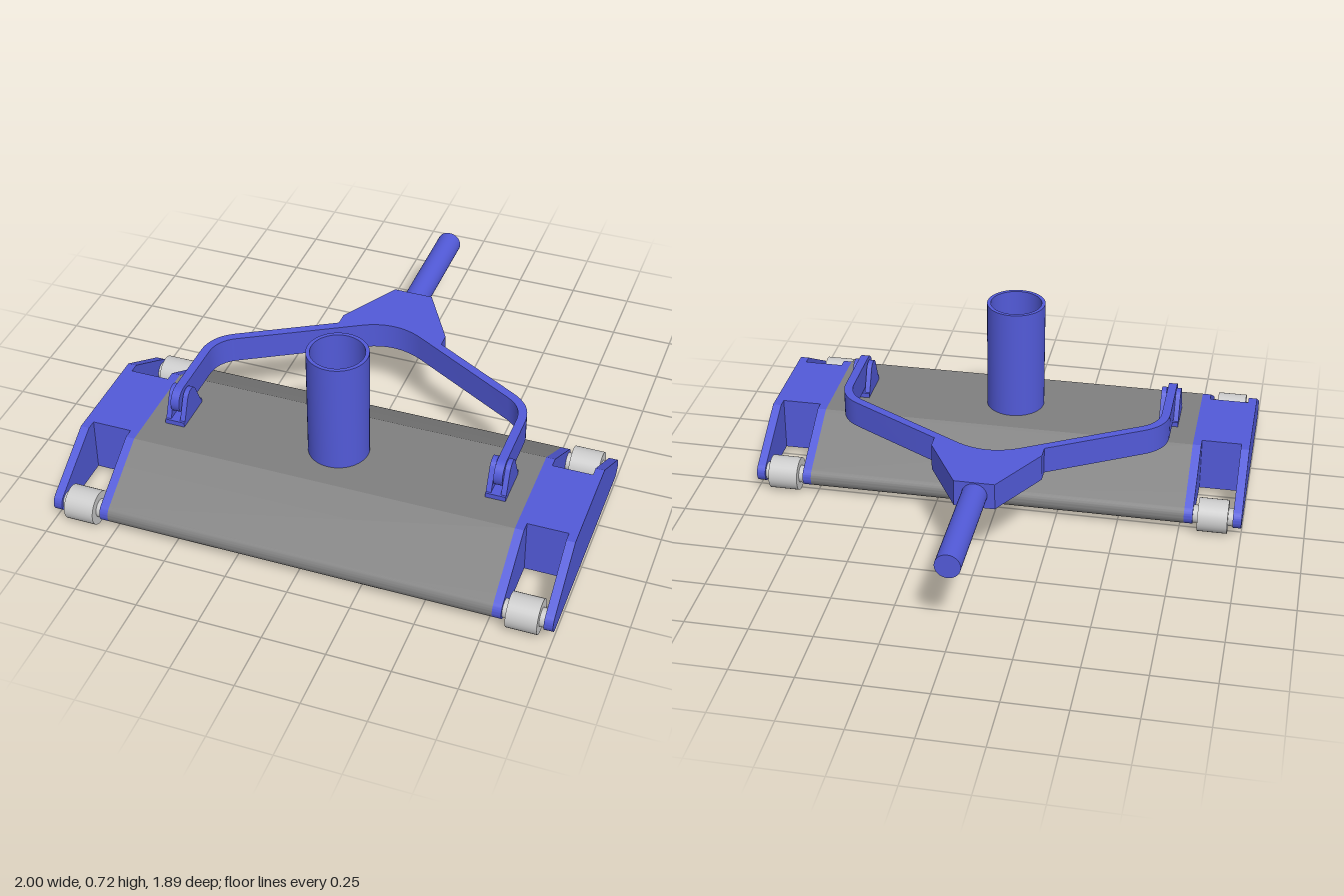
import * as THREE from 'three';
import { toCreasedNormals } from 'three/addons/utils/BufferGeometryUtils.js';

const blue = new THREE.MeshStandardMaterial({ color: 0x525ad8 });
const darkGrey = new THREE.MeshStandardMaterial({ color: 0x808080 });
const grey = new THREE.MeshStandardMaterial({ color: 0xcccccc });

export function createModel() {
  const model = new THREE.Group();

  const add = (name, geometry, material, x = 0, y = 0, z = 0) => {
    const mesh = new THREE.Mesh(geometry, material);
    mesh.name = name;
    mesh.position.set(x, y, z);
    model.add(mesh);
    return mesh;
  };
  const extrude = (shape, depth) => toCreasedNormals(
    new THREE.ExtrudeGeometry(shape, { depth, bevelEnabled: false, curveSegments: 12 }), 0.5);
  // Side profile drawn in (z, y), extruded from x0 to x1
  const slab = (name, shape, x0, x1, material) =>
    add(name, extrude(shape, x1 - x0).rotateY(-Math.PI / 2), material, x1);
  // Cylinder lying along x
  const roller = (name, r, length, material, x, y, z) =>
    add(name, new THREE.CylinderGeometry(r, r, length, 32).rotateZ(Math.PI / 2), material, x, y, z);

  // Trapezoid with rounded toes, shared by the body and the side plates
  const profile = new THREE.Shape();
  profile.moveTo(-0.008, 0.03);
  profile.absarc(0.878, 0.072, 0.042, -Math.PI / 2, Math.PI / 3, false);
  profile.lineTo(0.65, 0.255);
  profile.lineTo(0.22, 0.255);
  profile.absarc(-0.008, 0.072, 0.042, Math.PI * 2 / 3, Math.PI * 1.5, false);

  slab('body', profile, -0.77, 0.77, darkGrey);

  // Triangular ear with a rounded tip
  const ear = new THREE.Shape();
  ear.moveTo(0.35, 0.255);
  ear.lineTo(0.52, 0.255);
  ear.absarc(0.437, 0.345, 0.04, 0.5, Math.PI - 0.5, false);
  ear.closePath();

  for (const [side, s] of [['left', 1], ['right', -1]]) {
    const mirrored = (name, shape, a, b) =>
      slab(name, shape, Math.min(s * a, s * b), Math.max(s * a, s * b), blue);
    // End frame: two plates joined by a block
    mirrored(side + 'InnerPlate', profile, 0.77, 0.805);
    mirrored(side + 'OuterPlate', profile, 0.965, 1);
    add(side + 'Block', new THREE.BoxGeometry(0.16, 0.225, 0.35), blue, s * 0.885, 0.1425, 0.435);

    // Wheels on axles
    for (const [end, z] of [['Front', 0.873], ['Back', -0.003]]) {
      roller(side + end + 'Wheel', 0.068, 0.12, grey, s * 0.885, 0.068, z);
      roller(side + end + 'Axle', 0.036, 0.16, grey, s * 0.885, 0.068, z);
    }

    // Hinge bracket holding the handle
    mirrored(side + 'HingeInnerEar', ear, 0.615, 0.636);
    mirrored(side + 'HingeOuterEar', ear, 0.674, 0.695);
    add(side + 'HingeBase', new THREE.BoxGeometry(0.08, 0.02, 0.17), blue, s * 0.655, 0.265, 0.435);
    roller(side + 'HingePin', 0.02, 0.076, blue, s * 0.655, 0.34, 0.44);
    roller(side + 'HandleEnd', 0.055, 0.035, blue, s * 0.6575, 0.34, 0.45);
  }

  // Hose pipe, hollow with a floor
  const pipe = [[0, 0.26], [0.105, 0.26], [0.105, 0.72], [0.12, 0.72], [0.12, 0.25]]
    .map(([r, y]) => new THREE.Vector2(r, y)).reverse();
  add('hosePipe', toCreasedNormals(new THREE.LatheGeometry(pipe, 48), 0.5), blue, 0, 0, 0.435);

  // Bent handle with its yoke: half outline in (x, -z), then mirrored
  const half = new THREE.Path();
  half.moveTo(0, 0.2045);
  half.quadraticCurveTo(0.065, 0.2045, 0.13, 0.167);
  half.lineTo(0.571, -0.087);
  half.quadraticCurveTo(0.64, -0.127, 0.64, -0.207);
  half.lineTo(0.64, -0.45);
  half.lineTo(0.675, -0.45);
  half.lineTo(0.675, -0.207);
  half.quadraticCurveTo(0.675, -0.107, 0.588, -0.057);
  half.lineTo(0.22, 0.155);
  half.lineTo(0.22, 0.21);
  half.lineTo(0.08, 0.455);
  const points = half.getPoints(10);
  const others = points.slice(1).reverse().map((p) => new THREE.Vector2(-p.x, p.y));
  add('handleYoke', extrude(new THREE.Shape([...points, ...others]), 0.11).rotateX(-Math.PI / 2),
    blue, 0, 0.285, 0);

  // Pole socket
  add('handleRod', new THREE.CylinderGeometry(0.05, 0.05, 0.495, 32).rotateX(Math.PI / 2),
    blue, 0, 0.34, -0.6975);

  return model;
}
